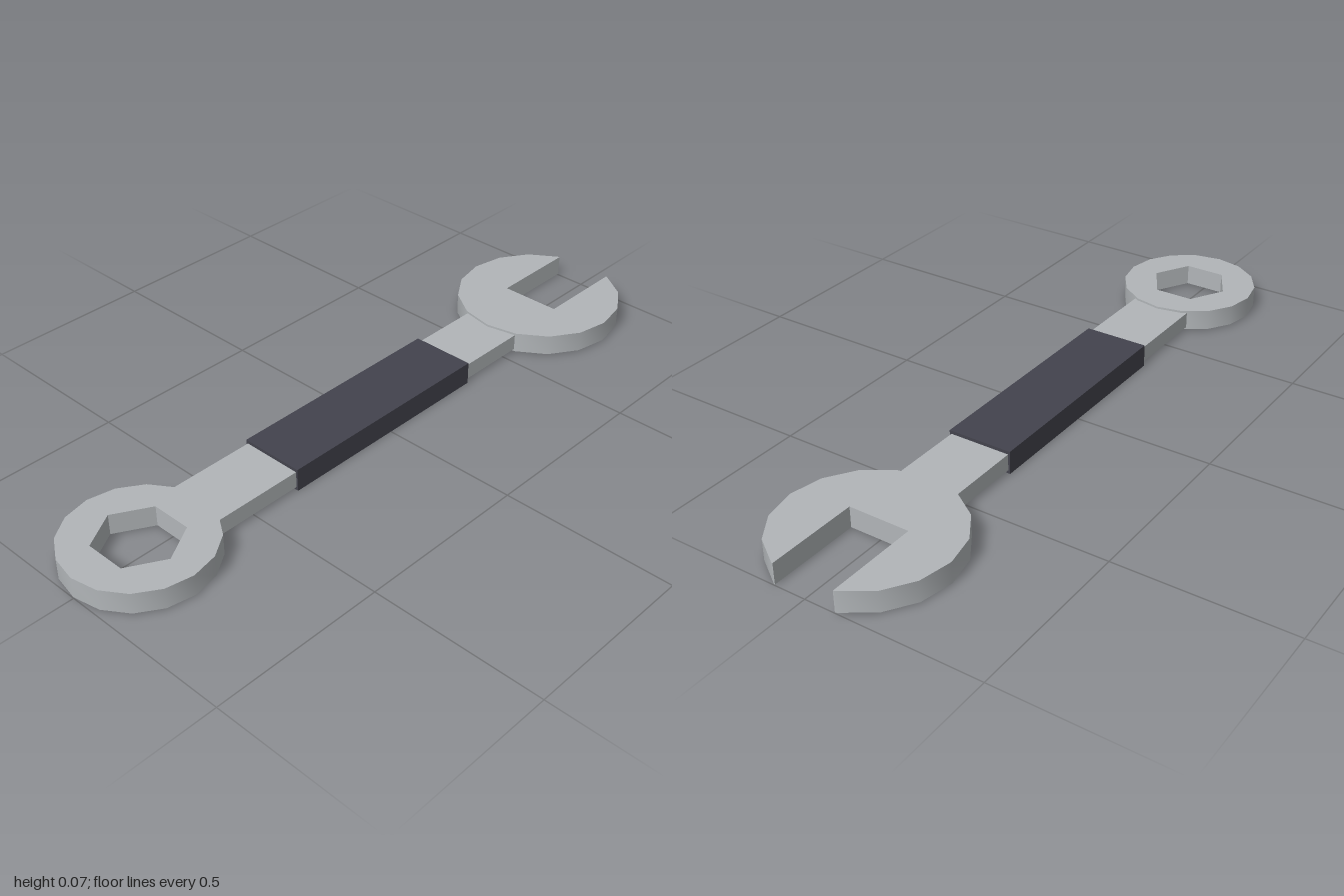
import * as THREE from 'three';
import { toCreasedNormals } from 'three/addons/utils/BufferGeometryUtils.js';

const MID = 0.0335; // height of the centre plane

// Corners of a regular polygon between two corner indices
function ngon(cx, r, sides, from = 0, to = sides - 1, turn = 0) {
  const pts = [];
  for (let i = from; i <= to; i++) {
    const a = (i / sides) * Math.PI * 2 + turn;
    pts.push(new THREE.Vector2(cx + r * Math.cos(a), r * Math.sin(a)));
  }
  return pts;
}

// Flat outline raised into a plate centred on the middle plane
function plate(name, shape, thickness, material) {
  const geo = new THREE.ExtrudeGeometry(shape, { depth: thickness, bevelEnabled: false });
  geo.rotateX(-Math.PI / 2);
  geo.translate(0, MID - thickness / 2, 0);
  const mesh = new THREE.Mesh(toCreasedNormals(geo, 0.6), material);
  mesh.name = name;
  return mesh;
}

function bar(name, x0, x1, height, depth, material) {
  const mesh = new THREE.Mesh(new THREE.BoxGeometry(x1 - x0, height, depth), material);
  mesh.position.set((x0 + x1) / 2, MID, 0);
  mesh.name = name;
  return mesh;
}

export function createModel() {
  const steel = new THREE.MeshStandardMaterial({ color: 0xb1b5b8 });
  steel.name = 'steel';
  const rubber = new THREE.MeshStandardMaterial({ color: 0x43434d });
  rubber.name = 'dark rubber';

  const group = new THREE.Group();
  group.name = 'wrench';

  // Closed ring end with a hexagonal hole
  const ring = new THREE.Shape(ngon(-0.797, 0.203, 16));
  ring.holes.push(new THREE.Path(ngon(-0.797, 0.118, 6, 0, 5, Math.PI / 6)));
  group.add(plate('ringHead', ring, 0.061, steel));

  // Open end: round head with a square slot cut from the tip
  const slot = 0.09;
  const jaw = [
    new THREE.Vector2(0.732, -slot),
    new THREE.Vector2(1, -slot),
  ];
  const arc = ngon(0.772, 0.246, 16, 1, 15);
  const outline = [new THREE.Vector2(1, slot), ...arc, jaw[1], jaw[0], new THREE.Vector2(0.732, slot)];
  group.add(plate('openHead', new THREE.Shape(outline), 0.061, steel));

  // Shank and grip sleeve
  group.add(bar('shank', -0.64, 0.6, 0.048, 0.18, steel));
  group.add(bar('grip', -0.355, 0.325, 0.067, 0.191, rubber));

  return group;
}
